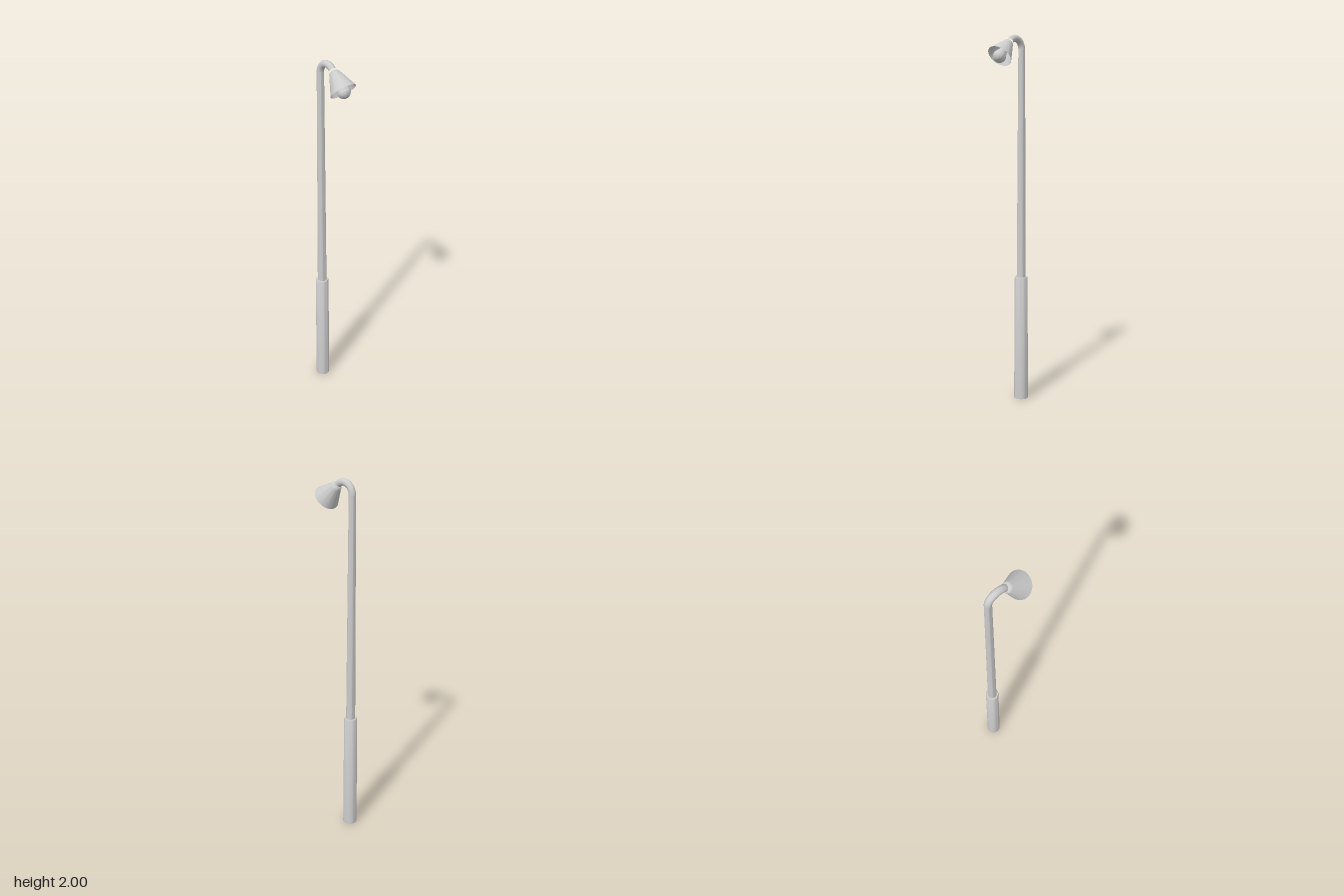
import * as THREE from 'three';
import { toCreasedNormals } from 'three/addons/utils/BufferGeometryUtils.js';

const SEGMENTS = 32;
const POLE_Z = -0.093;
const BEND = 0.055; // radius of the bend at the top
const BEND_Y = 1.927; // height where the pole starts to bend
const TUBE = 0.018;

const metal = new THREE.MeshStandardMaterial({ color: 0xcccccc });
const thin = new THREE.MeshStandardMaterial({ color: 0xcccccc, side: THREE.DoubleSide });

// Turned part from [radius, height] pairs, listed bottom to top
function turned(name, profile, material = metal) {
  const points = profile.map(([r, y]) => new THREE.Vector2(r, y));
  const geometry = toCreasedNormals(new THREE.LatheGeometry(points, SEGMENTS), 0.6);
  const mesh = new THREE.Mesh(geometry, material);
  mesh.name = name;
  return mesh;
}

// Quarter-and-a-bit arc that carries the lamp head forward
class BendCurve extends THREE.Curve {
  getPoint(t, target = new THREE.Vector3()) {
    const a = Math.PI * (1 - 0.75 * t);
    return target.set(0, BEND_Y + BEND * Math.sin(a), POLE_Z + BEND + BEND * Math.cos(a));
  }
}

export function createModel() {
  const model = new THREE.Group();
  model.name = 'streetLamp';

  // Thick lower sleeve with a bevelled top edge
  const base = turned('base', [
    [0, 0], [0.039, 0], [0.036, 0.688], [0.033, 0.695], [0.024, 0.695],
  ]);
  base.position.z = POLE_Z;

  // Slim tapering pole
  const pole = turned('pole', [[0.025, 0.68], [TUBE, BEND_Y]]);
  pole.position.z = POLE_Z;

  // Bent arm
  const arm = new THREE.Mesh(new THREE.TubeGeometry(new BendCurve(), 28, TUBE, SEGMENTS), metal);
  arm.name = 'arm';

  // Lamp head, built upright around the centre of the shade rim, then tilted
  const head = new THREE.Group();
  head.name = 'lampHead';
  head.position.set(0, 1.884, 0.084);
  head.rotation.x = -Math.PI / 4;

  const shade = turned('shade', [
    [0.067, 0], [0.028, 0.094], [0.026, 0.1], [0.022, 0.105], [0.016, 0.108], [0, 0.108],
  ], thin);

  // Round bulb narrowing into a neck
  const bulbProfile = [];
  for (let i = 0; i <= 14; i++) {
    const a = (i / 14) * 0.68 * Math.PI;
    bulbProfile.push([0.034 * Math.sin(a), -0.002 - 0.034 * Math.cos(a)]);
  }
  bulbProfile.push([0.022, 0.036], [0.018, 0.055], [0.018, 0.106]);
  head.add(shade, turned('bulb', bulbProfile));

  model.add(base, pole, arm, head);
  return model;
}
